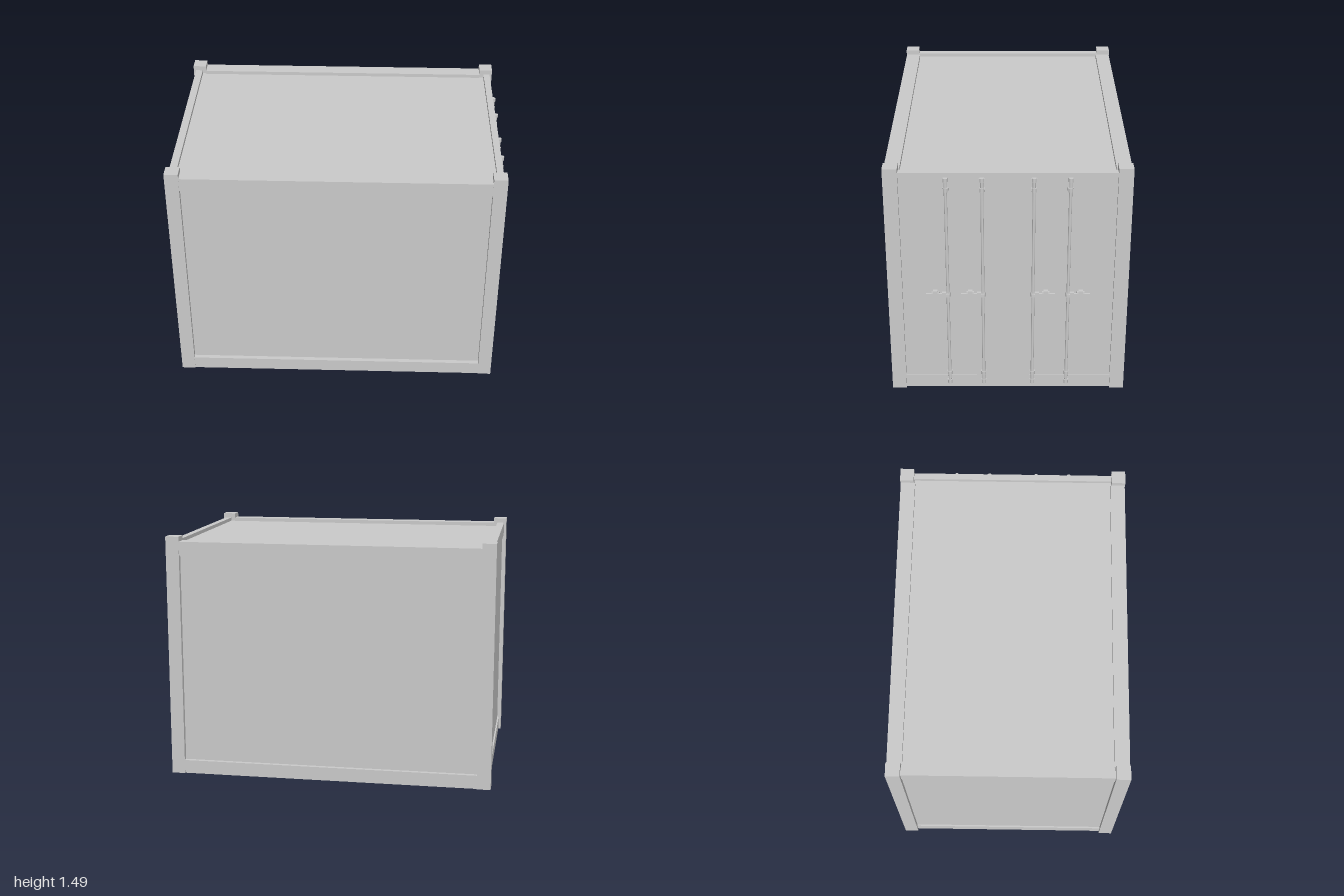
import * as THREE from 'three';

const material = new THREE.MeshStandardMaterial({ color: 0xcccccc });

// Box given by its min and max on each axis
function addBox(parent, name, [x0, x1], [y0, y1], [z0, z1]) {
  const mesh = new THREE.Mesh(new THREE.BoxGeometry(x1 - x0, y1 - y0, z1 - z0), material);
  mesh.position.set((x0 + x1) / 2, (y0 + y1) / 2, (z0 + z1) / 2);
  mesh.name = name;
  parent.add(mesh);
  return mesh;
}

// Upright round bar
function addBar(parent, name, radius, y0, y1, x, z, sides = 12) {
  const mesh = new THREE.Mesh(new THREE.CylinderGeometry(radius, radius, y1 - y0, sides), material);
  mesh.position.set(x, (y0 + y1) / 2, z);
  mesh.name = name;
  parent.add(mesh);
}

// Locking rod with guides, end cams and a handle pointing outward (+z)
function lockingRod() {
  const rod = new THREE.Group();
  rod.name = 'lockingRod';
  const x = 0.979;
  addBar(rod, 'rod', 0.009, 0.04, 1.425, x, 0);
  for (const y of [0.048, 0.11, 1.355, 1.417]) {
    addBar(rod, 'guideCollar', 0.0135, y - 0.012, y + 0.012, x, 0);
    addBox(rod, 'guidePlate', [0.964, 0.976], [y - 0.009, y + 0.009], [-0.017, 0.017]);
  }
  addBar(rod, 'handleHub', 0.0135, 0.653, 0.679, x, 0);
  addBox(rod, 'handleHinge', [0.972, 0.99], [0.65, 0.682], [0.008, 0.034]);
  addBox(rod, 'handle', [0.977, 0.987], [0.658, 0.674], [0.03, 0.13]);
  addBox(rod, 'handleCatch', [0.964, 0.991], [0.64, 0.693], [0.062, 0.087]);
  addBox(rod, 'catchPlate', [0.964, 0.98], [0.652, 0.68], [0.052, 0.097]);
  addBox(rod, 'handleKeeper', [0.985, 1], [0.657, 0.675], [-0.01, 0.01]);
  return rod;
}

export function createModel() {
  const model = new THREE.Group();
  model.name = 'shippingContainer';

  // Corner posts, standing a little above the roof rails
  for (const x of [[-1, -0.917], [0.903, 0.985]])
    for (const z of [[-0.705, -0.62], [0.62, 0.705]])
      addBox(model, 'cornerPost', x, [0, 1.487], z);

  // Long side rails and inset side walls
  for (const s of [-1, 1]) {
    const span = (a, b) => (s > 0 ? [a, b] : [-b, -a]);
    addBox(model, 'topSideRail', [-0.917, 0.903], [1.375, 1.457], span(0.613, 0.703));
    addBox(model, 'bottomSideRail', [-0.917, 0.903], [0.002, 0.085], span(0.613, 0.703));
    addBox(model, 'sideWall', [-0.93, 0.92], [0.07, 1.4], span(0.65, 0.677));
  }

  // End rails
  for (const y of [[0.002, 0.085], [1.375, 1.457]]) {
    addBox(model, 'rearEndRail', [-0.985, -0.94], y, [-0.62, 0.62]);
    addBox(model, 'doorEndRail', [0.93, 0.97], y, [-0.62, 0.62]);
  }

  // End wall, roof and floor, all inset from the frame
  addBox(model, 'endWall', [-0.975, -0.945], [0.08, 1.38], [-0.63, 0.63]);
  addBox(model, 'roof', [-0.945, 0.935], [1.4, 1.435], [-0.64, 0.64]);
  addBox(model, 'floor', [-0.945, 0.935], [0.07, 0.08], [-0.64, 0.64]);

  // Pair of doors
  for (const z of [[-0.63, 0], [0, 0.63]])
    addBox(model, 'door', [0.935, 0.965], [0.08, 1.38], z);

  // Two locking rods per door, mirrored across the middle
  for (const s of [-1, 1])
    for (const z of [0.147, 0.353]) {
      const rod = lockingRod();
      rod.position.z = s * z;
      if (s < 0) {
        // Mirror the handle side by moving parts rather than scaling
        rod.children.forEach((part) => { part.position.z *= -1; });
      }
      model.add(rod);
    }

  return model;
}
